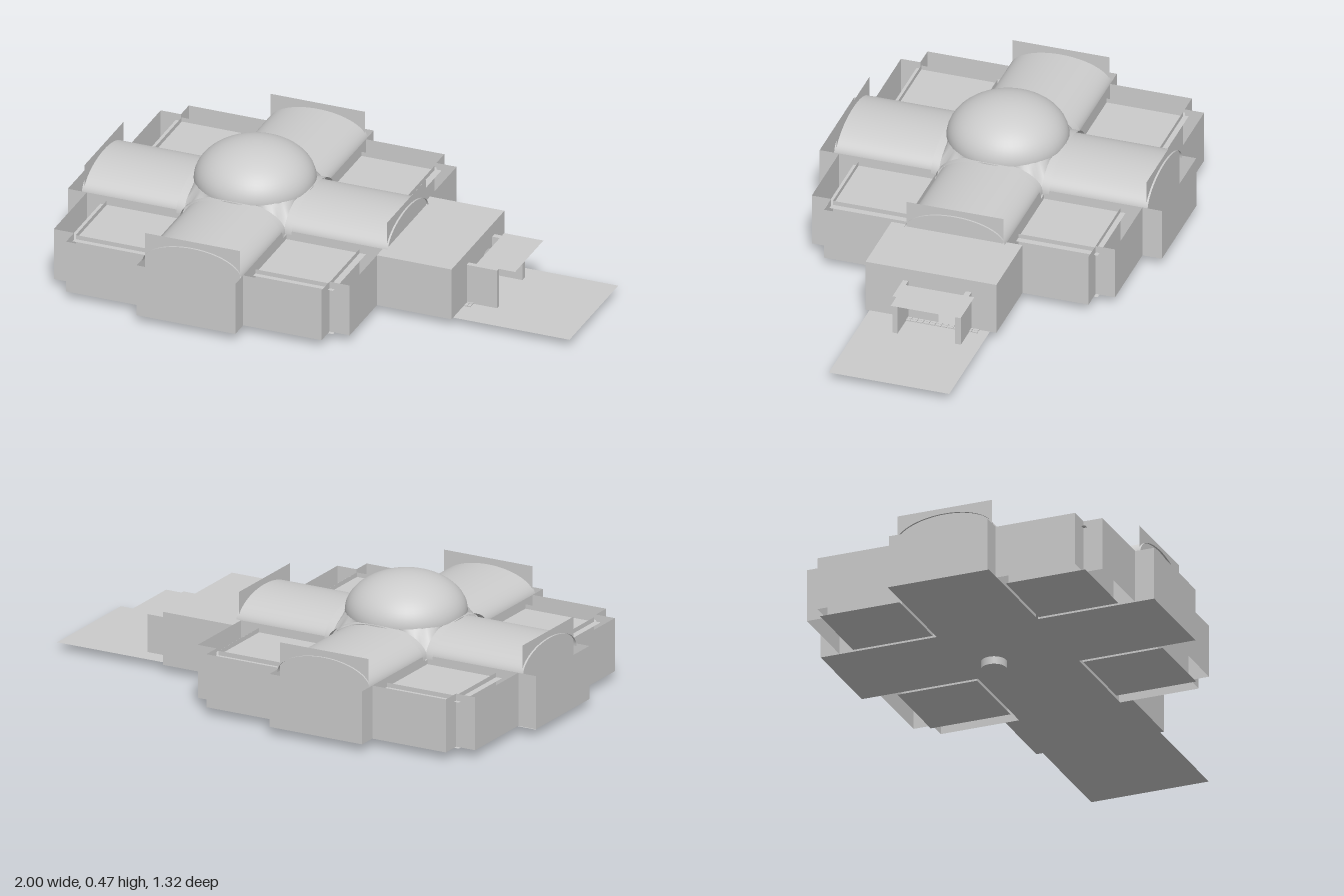
import * as THREE from 'three';

const FLOOR = 0.03, WALL = 0.235, CX = -0.34, SPRING = 0.225, RISE = 0.09, HALF = 0.195;
const material = new THREE.MeshStandardMaterial({ color: 0xcccccc, side: THREE.DoubleSide });

function mesh(name, geometry, parent) {
  const m = new THREE.Mesh(geometry, material);
  m.name = name;
  parent.add(m);
  return m;
}

// Flat horizontal sheet
function plate(name, parent, x0, x1, z0, z1, y) {
  const g = new THREE.PlaneGeometry(x1 - x0, z1 - z0).rotateX(-Math.PI / 2);
  g.translate((x0 + x1) / 2, y, (z0 + z1) / 2);
  return mesh(name, g, parent);
}

// Thin upright walls following a plan outline of [x, z] points
function walls(name, parent, points, y0, y1) {
  const group = new THREE.Group();
  group.name = name;
  parent.add(group);
  for (let i = 0; i < points.length - 1; i++) {
    const [ax, az] = points[i], [bx, bz] = points[i + 1];
    const g = new THREE.PlaneGeometry(Math.hypot(bx - ax, bz - az), y1 - y0);
    g.rotateY(-Math.atan2(bz - az, bx - ax));
    g.translate((ax + bx) / 2, (y0 + y1) / 2, (az + bz) / 2);
    mesh(name + 'Panel', g, group);
  }
}

// Upright sheet across x, with an optional arched doorway
function endPanel(half, top, door) {
  const s = new THREE.Shape();
  s.moveTo(-half, FLOOR).lineTo(half, FLOOR).lineTo(half, top).lineTo(-half, top);
  if (door) {
    const h = new THREE.Path(), c = 0.083, r = 0.053;
    h.moveTo(c - r, FLOOR + 0.001).lineTo(c + r, FLOOR + 0.001).lineTo(c + r, 0.102);
    h.absarc(c, 0.102, r, 0, Math.PI, false);
    s.holes.push(h);
  }
  return new THREE.ShapeGeometry(s, 16);
}

// Elliptical barrel running along z
function vault(half, rise, z0, z1) {
  const g = new THREE.PlaneGeometry(1, 1, 32, 1), p = g.attributes.position;
  for (let i = 0; i < p.count; i++) {
    const a = (0.5 - p.getX(i)) * Math.PI;
    p.setXYZ(i, half * Math.cos(a), SPRING + rise * Math.sin(a), p.getY(i) > 0 ? z0 : z1);
  }
  g.computeVertexNormals();
  return g;
}

// Surface joining the four crossing arches to the dome ring
function pendentives() {
  const g = new THREE.PlaneGeometry(1, 1, 96, 6), p = g.attributes.position;
  for (let i = 0; i < p.count; i++) {
    const a = -p.getX(i) * Math.PI * 2, t = p.getY(i) + 0.5;
    const c = Math.cos(a), s = Math.sin(a), m = Math.max(Math.abs(c), Math.abs(s));
    const u = Math.min(Math.abs(c), Math.abs(s)) / m;
    const archY = SPRING + RISE * Math.sqrt(Math.max(0, 1 - u * u));
    const r = THREE.MathUtils.lerp(0.2 / m, 0.222, t);
    p.setXYZ(i, r * c, THREE.MathUtils.lerp(archY, 0.325, t), r * s);
  }
  g.computeVertexNormals();
  return g;
}

export function createModel() {
  const model = new THREE.Group();
  model.name = 'domedCrossBuilding';
  const core = new THREE.Group();
  core.name = 'crossHall';
  core.position.x = CX;
  model.add(core);

  // Cross-shaped floor
  plate('longFloor', core, -0.66, 0.585, -0.2, 0.2, FLOOR);
  plate('crossFloorFront', core, -HALF, HALF, 0.2, 0.66, FLOOR);
  plate('crossFloorBack', core, -HALF, HALF, -0.66, -0.2, FLOOR);

  // Dome over the crossing
  const dome = new THREE.SphereGeometry(1, 48, 16, 0, Math.PI * 2, 0, Math.PI / 2);
  dome.scale(0.225, 0.145, 0.225).translate(0, 0.32, 0);
  mesh('dome', dome, core);
  mesh('pendentives', pendentives(), core);

  // Four vaulted arms
  for (let i = 0; i < 4; i++) {
    const arm = new THREE.Group();
    arm.name = 'vaultedArm';
    arm.rotation.y = i * Math.PI / 2;
    core.add(arm);
    mesh('barrelVault', vault(HALF, RISE, 0.2, 0.605), arm);
    mesh('crossingArch', vault(HALF + 0.008, RISE + 0.012, 0.198, 0.228), arm);
    mesh('endLunette', endPanel(0.187, 0.34, i === 1), arm).position.z = 0.598;
    for (const s of [-1, 1])
      walls('armSideWall', arm, [[s * HALF, 0.2], [s * HALF, 0.605]], FLOOR, WALL);
    if (i !== 1) // closed outer end of the arm
      walls('armOuterWall', arm, [[-HALF, 0.585], [-HALF, 0.66], [HALF, 0.66], [HALF, 0.585]], FLOOR, WALL);
  }

  // Corner rooms inside notched outer walls
  for (const sx of [-1, 1]) for (const sz of [-1, 1]) {
    const room = new THREE.Group();
    room.name = 'cornerRoom';
    core.add(room);
    const at = (list) => list.map(([x, z]) => [x * sx, z * sz]);
    walls('cornerOuterWall', room, at([[HALF, 0.585], [0.505, 0.585], [0.505, 0.51],
      [0.585, 0.51], [0.585, HALF]]), FLOOR, WALL);
    walls('cornerInnerWall', room, at([[0.21, 0.21], [0.525, 0.21], [0.525, 0.525],
      [0.21, 0.525], [0.21, 0.21]].map(([x, z]) => [Math.min(x, 0.5), Math.min(z, 0.505)])), FLOOR, 0.225);
    const x0 = Math.min(sx * 0.21, sx * 0.525), z0 = Math.min(sz * 0.21, sz * 0.525);
    plate('cornerRoof', room, x0, x0 + 0.315, z0, z0 + 0.315, 0.208);
    plate('cornerFloor', room, x0, x0 + 0.315, z0, z0 + 0.315, FLOOR);
  }

  // Round pedestal in the hall
  const pedestal = new THREE.CylinderGeometry(0.048, 0.048, 0.08, 32);
  mesh('roundPedestal', pedestal.translate(-0.257, 0.04, -0.09), model);

  // Entrance block
  const porch = new THREE.Group();
  porch.name = 'entranceBlock';
  model.add(porch);
  plate('entranceRoof', porch, 0.245, 0.54, -0.255, 0.25, WALL);
  plate('entranceFloor', porch, 0.245, 0.54, -0.255, 0.25, FLOOR);
  walls('entranceWall', porch, [[0.245, -0.195], [0.245, -0.255], [0.54, -0.255]], FLOOR, WALL);
  walls('entranceWall', porch, [[0.245, 0.195], [0.245, 0.25], [0.54, 0.25]], FLOOR, WALL);
  const front = mesh('entranceDoorWall', endPanel(0.2525, WALL, true), porch);
  front.rotation.y = Math.PI / 2;
  front.position.set(0.54, 0, -0.0025);

  // Forecourt with side walls, canopy and paving
  plate('forecourt', model, 0.54, 1, -0.23, 0.235, FLOOR);
  plate('canopy', model, 0.57, 0.725, -0.18, 0.09, 0.185);
  for (const [z, w] of [[0.095, 0.02], [-0.148, 0.022]]) {
    const g = new THREE.BoxGeometry(0.12, 0.155, w);
    mesh('canopySideWall', g.translate(0.6, 0.1075, z), model);
  }
  for (let r = 0; r < 14; r++) for (let c = 0; c < 2; c++) {
    const g = new THREE.BoxGeometry(0.011, 0.004, 0.02);
    mesh('pavingStone', g.translate(0.548 + c * 0.013, FLOOR + 0.002, -0.18 + r * 0.0235), model);
  }
  return model;
}
